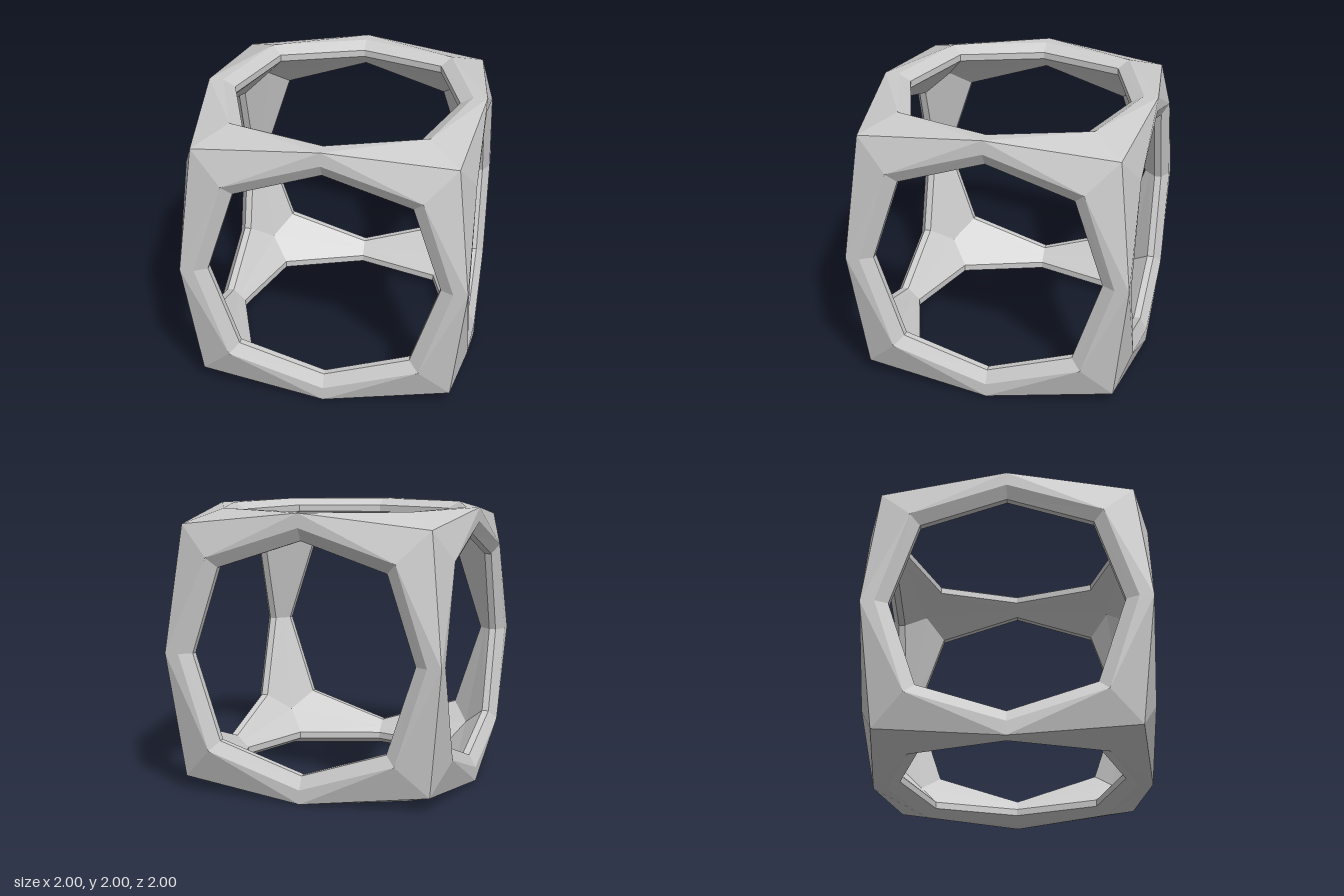
import * as THREE from 'three';

// Flat-shaded mesh from a list of triangles (each three Vector3)
function meshFrom(name, triangles) {
  const geometry = new THREE.BufferGeometry().setFromPoints(triangles.flat());
  geometry.computeVertexNormals();
  const material = new THREE.MeshStandardMaterial({ color: 0xcccccc, flatShading: true });
  const mesh = new THREE.Mesh(geometry, material);
  mesh.name = name;
  return mesh;
}

// One side of the cube frame, facing +z, with an eight-sided opening
function createSide() {
  const outer = [], inner = [], bevel = [], rim = [];
  const axis = new THREE.Vector3(0, 0, 1);

  for (let q = 0; q < 4; q++) {
    const point = (x, y, z) => new THREE.Vector3(x, y, z).applyAxisAngle(axis, q * Math.PI / 2);

    // Points around a quarter of the opening: strut middle, corner, strut middle
    const opening = (mid, diagonal, z) => [point(mid, 0, z), point(diagonal, diagonal, z), point(0, mid, z)];
    const outerHole = opening(0.9, 0.68, 1);
    const bevelHole = opening(0.81, 0.61, 0.95);
    const innerHole = opening(0.81, 0.61, 0.9);

    // Quarter of a shell, from the cube corner and strut middles to the opening
    const shell = (edge, corner, [holeA, holeCorner, holeB]) => {
      const c = point(corner, corner, corner);
      const edgeA = point(edge, 0, edge), edgeB = point(0, edge, edge);
      return [
        [edgeA, c, holeCorner], [c, edgeB, holeCorner],
        [edgeA, holeCorner, holeA], [edgeB, holeB, holeCorner],
      ];
    };
    outer.push(...shell(1, 0.9, outerHole));
    // Inside, each strut is a flat chamfer, so its middle lies between the openings
    inner.push(...shell(0.855, 0.74, innerHole).map(([a, b, c]) => [a, c, b]));

    // Band of quads between two rings of opening points
    const band = (target, front, back) => {
      for (let i = 0; i < 2; i++) {
        target.push([front[i], front[i + 1], back[i + 1]], [front[i], back[i + 1], back[i]]);
      }
    };
    band(bevel, outerHole, bevelHole);
    band(rim, bevelHole, innerHole);
  }

  const side = new THREE.Group();
  side.add(
    meshFrom('outerShell', outer), meshFrom('innerShell', inner),
    meshFrom('openingBevel', bevel), meshFrom('openingRim', rim),
  );
  return side;
}

export function createModel() {
  const model = new THREE.Group();
  model.name = 'cubeFrame';
  const h = Math.PI / 2;
  const sides = {
    frontSide: [0, 0], leftSide: [0, h], backSide: [0, 2 * h], rightSide: [0, -h],
    topSide: [-h, 0], bottomSide: [h, 0],
  };
  const base = createSide();
  for (const [name, [rx, ry]] of Object.entries(sides)) {
    const side = base.clone();
    side.name = name;
    side.rotation.set(rx, ry, 0);
    side.position.y = 1;
    model.add(side);
  }
  return model;
}
